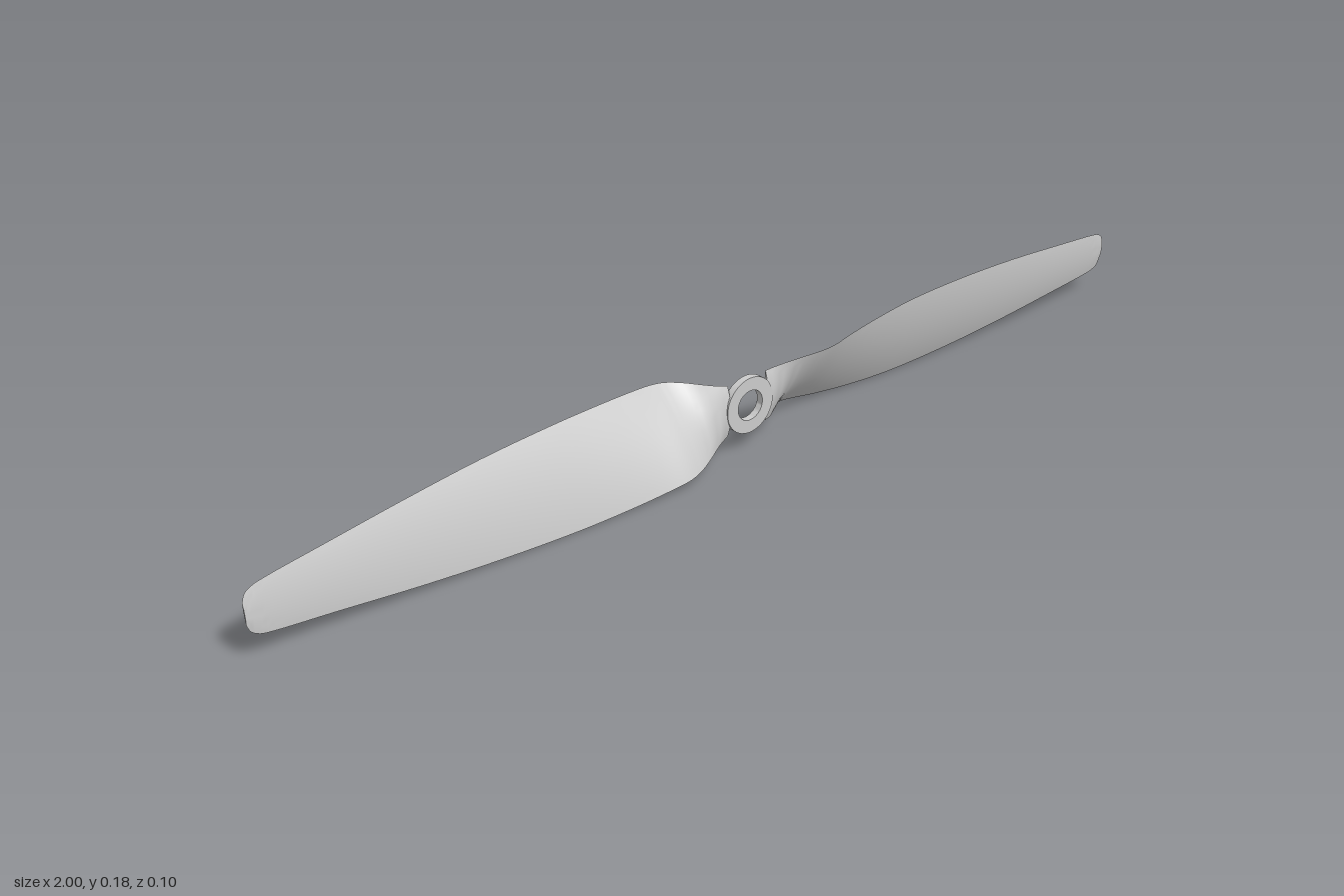
import * as THREE from 'three';
import { toCreasedNormals } from 'three/addons/utils/BufferGeometryUtils.js';

const CENTRE_Y = 0.0885;

// Blade stations: x, upper edge (y, z), lower edge (y, z), thickness
const STATIONS = [
  [0.045, 0.050, 0.008, -0.050, 0.008, 0.012],
  [0.070, 0.055, 0.016, -0.055, -0.004, 0.012],
  [0.110, 0.064, 0.034, -0.062, -0.038, 0.012],
  [0.140, 0.069, 0.046, -0.068, -0.051, 0.013],
  [0.170, 0.073, 0.052, -0.073, -0.052, 0.013],
  [0.220, 0.079, 0.048, -0.079, -0.046, 0.013],
  [0.300, 0.085, 0.041, -0.085, -0.037, 0.013],
  [0.400, 0.088, 0.033, -0.088, -0.029, 0.012],
  [0.550, 0.083, 0.024, -0.084, -0.022, 0.011],
  [0.700, 0.072, 0.016, -0.073, -0.015, 0.009],
  [0.850, 0.056, 0.009, -0.058, -0.009, 0.007],
  [0.960, 0.044, 0.005, -0.046, -0.005, 0.005],
  [0.980, 0.040, 0.004, -0.042, -0.004, 0.005],
  [0.994, 0.031, 0.003, -0.034, -0.003, 0.004],
  [1.000, 0.018, 0.002, -0.020, -0.002, 0.003],
];

function bladeGeometry() {
  const curve = (f) => new THREE.CatmullRomCurve3(STATIONS.map(f));
  const upper = curve(([x, y, z]) => new THREE.Vector3(x, y, z));
  const lower = curve(([x, , , y, z]) => new THREE.Vector3(x, y, z));
  const steps = (STATIONS.length - 1) * 4, half = 12, ring = half * 2;
  const pos = [], index = [];
  const spanwise = new THREE.Vector3(1, 0, 0);

  for (let i = 0; i <= steps; i++) {
    const t = i / steps;
    const a = upper.getPoint(t), b = lower.getPoint(t);
    const k = Math.min(Math.floor(i / 4), STATIONS.length - 2);
    const thick = THREE.MathUtils.lerp(STATIONS[k][5], STATIONS[k + 1][5], i / 4 - k);
    const normal = b.clone().sub(a).cross(spanwise).normalize();
    // Aerofoil loop: arched front going down, flatter back coming up
    for (let j = 0; j < ring; j++) {
      const u = j < half ? j / half : 2 - j / half;
      const s = 0.5 - 0.5 * Math.cos(Math.PI * u);
      const bulge = 4 * s * (1 - s) * thick * (j < half ? 0.75 : -0.25);
      const p = a.clone().lerp(b, s).addScaledVector(normal, bulge);
      pos.push(p.x, p.y, p.z);
    }
  }
  for (let i = 0; i < steps; i++) {
    for (let j = 0; j < ring; j++) {
      const a = i * ring + j, b = i * ring + (j + 1) % ring;
      index.push(a, b, a + ring, b, b + ring, a + ring);
    }
  }
  // Root and tip caps
  const tip = steps * ring;
  for (let j = 1; j < ring - 1; j++) {
    index.push(0, j + 1, j, tip, tip + j, tip + j + 1);
  }
  const geo = new THREE.BufferGeometry();
  geo.setAttribute('position', new THREE.Float32BufferAttribute(pos, 3));
  geo.setIndex(index);
  return toCreasedNormals(geo, 0.6);
}

function hubGeometry() {
  // Flat ring with a shaft hole, turned about the z axis
  const profile = [[0.029, 0.004], [0.054, 0.004], [0.054, 0.018], [0.029, 0.018], [0.029, 0.004]];
  const geo = new THREE.LatheGeometry(profile.map(([r, h]) => new THREE.Vector2(r, h)), 48);
  geo.rotateX(Math.PI / 2);
  return toCreasedNormals(geo, 0.6);
}

export function createModel() {
  const model = new THREE.Group();
  model.name = 'propeller';
  const material = new THREE.MeshStandardMaterial({ color: 0xcccccc });

  const hub = new THREE.Mesh(hubGeometry(), material);
  hub.name = 'hub';
  model.add(hub);

  // Two identical blades, half a turn apart
  const geo = bladeGeometry();
  ['leftBlade', 'rightBlade'].forEach((name, i) => {
    const blade = new THREE.Mesh(geo, material);
    blade.name = name;
    blade.rotation.z = i * Math.PI;
    model.add(blade);
  });

  model.children.forEach((part) => { part.position.y = CENTRE_Y; });
  return model;
}
